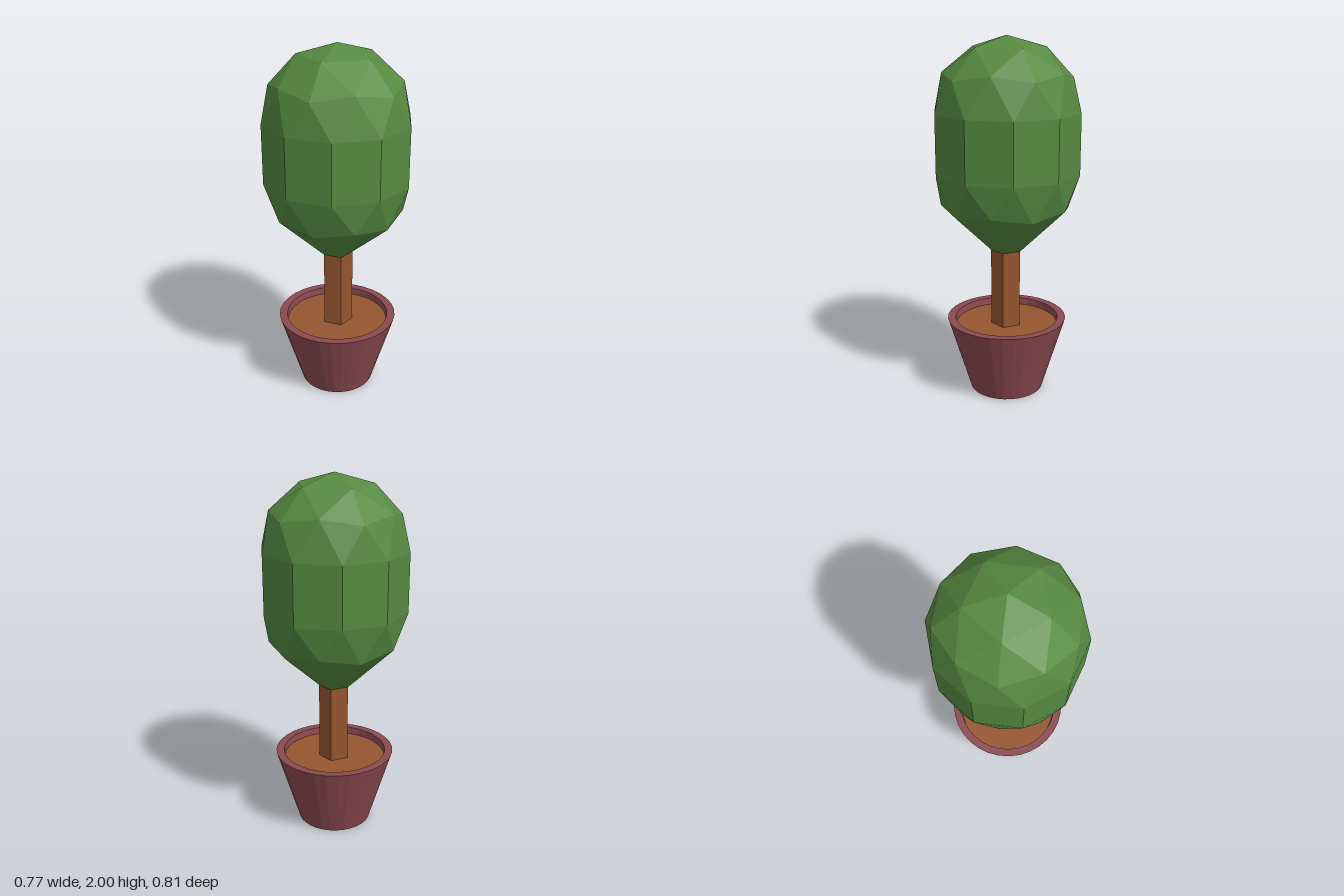
import * as THREE from 'three';

const GREEN = 0x568a41, BROWN = 0x95552f, CLAY = 0x8c4a51;

function addMesh(group, name, geometry, color) {
  const material = new THREE.MeshStandardMaterial({ color, flatShading: true });
  const mesh = new THREE.Mesh(geometry, material);
  mesh.name = name;
  group.add(mesh);
  return mesh;
}

// Points on a horizontal ring; start and step are in degrees
function ring(count, startDeg, radius, y) {
  return Array.from({ length: count }, (_, i) => {
    const a = THREE.MathUtils.degToRad(startDeg + (i * 360) / count);
    const r = Array.isArray(radius) ? radius[i % 2] : radius;
    return new THREE.Vector3(Math.cos(a) * r, Array.isArray(y) ? y[i % 2] : y, Math.sin(a) * r);
  });
}

// Faceted crown: two icosphere halves joined by a straight ten-sided band
function crownGeometry() {
  const R = 0.405, H = 0.4, yTop = 1.6, yLow = 1.27;
  const tris = [];

  // One half dome; the lower one is the upper turned half round and flipped
  function dome(yBase, flip, tipRadius, tipHeight, closed) {
    const place = (p) => (flip ? new THREE.Vector3(-p.x, yBase - p.y, -p.z) : new THREE.Vector3(p.x, yBase + p.y, p.z));
    const tri = (a, b, c) => tris.push(...(flip ? [a, c, b] : [a, b, c]).map(place));
    const apex = new THREE.Vector3(0, H, 0);
    const tip = ring(5, 0, tipRadius, tipHeight);
    const mid = ring(10, 0, [0.894 * R, 0.851 * R], [0.447 * H, 0.526 * H]);
    const rim = ring(10, 18, R, 0);
    for (let k = 0; k < 5; k++) {
      const next = tip[(k + 1) % 5];
      if (closed) tri(apex, next, tip[k]);
      tri(tip[k], next, mid[2 * k + 1]);
      tri(tip[k], mid[2 * k + 1], mid[2 * k]);
      tri(tip[k], mid[2 * k], mid[(2 * k + 9) % 10]);
    }
    for (let j = 0; j < 10; j++) {
      tri(mid[j], rim[j], rim[(j + 9) % 10]);
      tri(mid[j], mid[(j + 1) % 10], rim[j]);
    }
  }
  dome(yTop, false, 0.526 * R, 0.851 * H, true);
  dome(yLow, true, 0.087, yLow - 0.825, false);

  // Straight band
  const up = ring(10, 18, R, yTop), low = ring(10, 18, R, yLow);
  for (let j = 0; j < 10; j++) {
    const n = (j + 1) % 10;
    tris.push(up[j], up[n], low[n], up[j], low[n], low[j]);
  }
  const geometry = new THREE.BufferGeometry().setFromPoints(tris);
  geometry.computeVertexNormals();
  return geometry;
}

export function createModel() {
  const group = new THREE.Group();
  group.name = 'pottedTree';

  addMesh(group, 'crown', crownGeometry(), GREEN);

  // Five-sided trunk, one corner towards -x
  const trunk = new THREE.CylinderGeometry(0.087, 0.087, 0.445, 5, 1, false, -Math.PI / 2);
  addMesh(group, 'trunk', trunk, BROWN).position.y = 0.6025;

  // Tapered pot with a flat rim and a short inner wall
  const profile = [[0, 0], [0.208, 0], [0.337, 0.425], [0.292, 0.425], [0.288, 0.38]];
  const pot = new THREE.LatheGeometry(profile.map(([x, y]) => new THREE.Vector2(x, y)), 32);
  addMesh(group, 'pot', pot, CLAY);

  const soil = new THREE.CircleGeometry(0.289, 32).rotateX(-Math.PI / 2);
  addMesh(group, 'soil', soil, BROWN).position.y = 0.385;

  return group;
}
